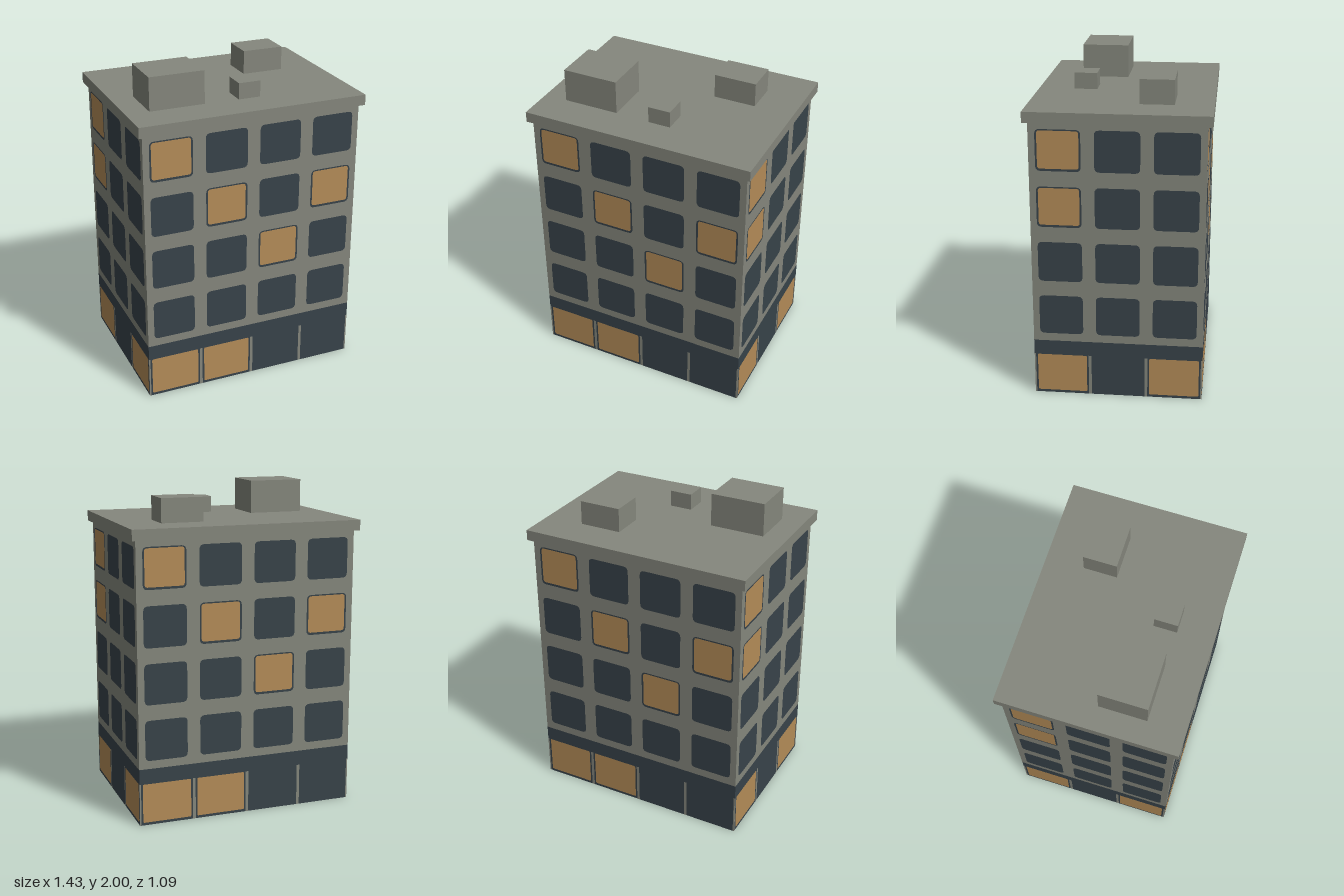
import * as THREE from 'three';

const material = (name, color) =>
  new THREE.MeshStandardMaterial({ name, color, side: THREE.DoubleSide });

// Rounded rectangle traced onto a Shape or Path
function rounded(target, x0, y0, x1, y1, r) {
  target.moveTo(x0 + r, y0);
  target.lineTo(x1 - r, y0);
  target.quadraticCurveTo(x1, y0, x1, y0 + r);
  target.lineTo(x1, y1 - r);
  target.quadraticCurveTo(x1, y1, x1 - r, y1);
  target.lineTo(x0 + r, y1);
  target.quadraticCurveTo(x0, y1, x0, y1 - r);
  target.lineTo(x0, y0 + r);
  target.quadraticCurveTo(x0, y0, x0 + r, y0);
  return target;
}

function rect(target, x0, y0, x1, y1) {
  target.moveTo(x0, y0);
  target.lineTo(x1, y0);
  target.lineTo(x1, y1);
  target.lineTo(x0, y1);
  target.closePath();
  return target;
}

export function createModel() {
  const model = new THREE.Group();
  model.name = 'apartmentBlock';
  const stone = material('stone', 0x85877d);
  const glass = material('darkGlass', 0x38434a);
  const light = material('litWindow', 0xb48c58);

  const HALF_X = 0.69, HALF_Z = 0.515;
  const BAND_LOW = 0.262, BAND_TOP = 0.355, WALL_TOP = 1.74;
  const PILLAR = 0.009, WINDOW_W = 0.265, WINDOW_H = 0.25;

  // One flat facade; lit windows are given as 'column,row' with row 0 lowest
  function facade(name, half, columns, litWindows, litShops) {
    const wall = new THREE.Group();
    wall.name = name;
    const add = (part, shape, mat) => {
      const mesh = new THREE.Mesh(new THREE.ShapeGeometry(shape, 4), mat);
      mesh.name = part;
      wall.add(mesh);
    };
    const cell = (2 * half) / columns;
    const upper = rect(new THREE.Shape(), -half, BAND_TOP, half, WALL_TOP);

    for (let c = 0; c < columns; c++) {
      const x = -half + cell * (c + 0.5);

      // Upper floor windows set flush in wall openings
      for (let r = 0; r < 4; r++) {
        const y = 0.405 + r * 0.345;
        const box = [x - WINDOW_W / 2, y, x + WINDOW_W / 2, y + WINDOW_H];
        upper.holes.push(rounded(new THREE.Path(), ...box, 0.03));
        const pane = rounded(new THREE.Shape(), ...box, 0.03);
        if (litWindows.includes(`${c},${r}`)) {
          const inner = [box[0] + 0.011, box[1] + 0.014, box[2] - 0.011, box[3] - 0.008];
          pane.holes.push(rounded(new THREE.Path(), ...inner, 0.018));
          add('litWindow', rounded(new THREE.Shape(), ...inner, 0.018), light);
          add('windowFrame', pane, glass);
        } else add('window', pane, glass);
      }

      // Ground floor shopfront
      const shop = rect(new THREE.Shape(), x - cell / 2 + PILLAR, 0, x + cell / 2 - PILLAR, BAND_LOW);
      if (litShops.includes(c)) {
        const w = cell / 2 - 0.02;
        const inner = [x - w, 0.016, x + w, BAND_LOW - 0.002];
        shop.holes.push(rounded(new THREE.Path(), ...inner, 0.008));
        add('litShopWindow', rounded(new THREE.Shape(), ...inner, 0.008), light);
      }
      add('shopfront', shop, glass);
    }

    // Slim pillars between shopfronts and at the corners
    for (let c = 0; c <= columns; c++) {
      const x = -half + c * cell;
      const x0 = Math.max(-half, x - PILLAR), x1 = Math.min(half, x + PILLAR);
      add('pillar', rect(new THREE.Shape(), x0, 0, x1, BAND_LOW), stone);
    }
    add('shopBand', rect(new THREE.Shape(), -half, BAND_LOW, half, BAND_TOP), glass);
    add('upperWall', upper, stone);
    return wall;
  }

  // Matching facades turned about the building, leaving its base open
  const longLit = ['0,3', '1,2', '3,2', '2,1'];
  const shortLit = ['0,3', '0,2'];
  ['front', 'left', 'back', 'right'].forEach((side, i) => {
    const long = i % 2 === 0;
    const wall = long
      ? facade(side + 'Wall', HALF_X, 4, longLit, [0, 1])
      : facade(side + 'Wall', HALF_Z, 3, shortLit, [0, 2]);
    const angle = (i * Math.PI) / 2;
    const d = long ? HALF_Z : HALF_X;
    wall.rotation.y = angle;
    wall.position.set(Math.sin(angle) * d, 0, Math.cos(angle) * d);
    model.add(wall);
  });

  // Roof slab and rooftop housings
  const block = (name, x0, x1, y0, y1, z0, z1) => {
    const mesh = new THREE.Mesh(new THREE.BoxGeometry(x1 - x0, y1 - y0, z1 - z0), stone);
    mesh.name = name;
    mesh.position.set((x0 + x1) / 2, (y0 + y1) / 2, (z0 + z1) / 2);
    model.add(mesh);
  };
  block('roofSlab', -0.717, 0.717, 1.73, 1.795, -0.544, 0.544);
  block('stairHousing', -0.573, -0.23, 1.79, 2, 0.03, 0.319);
  block('liftHousing', 0.211, 0.473, 1.79, 1.943, -0.312, -0.108);
  block('ventBox', -0.016, 0.123, 1.79, 1.895, 0.185, 0.326);

  return model;
}
